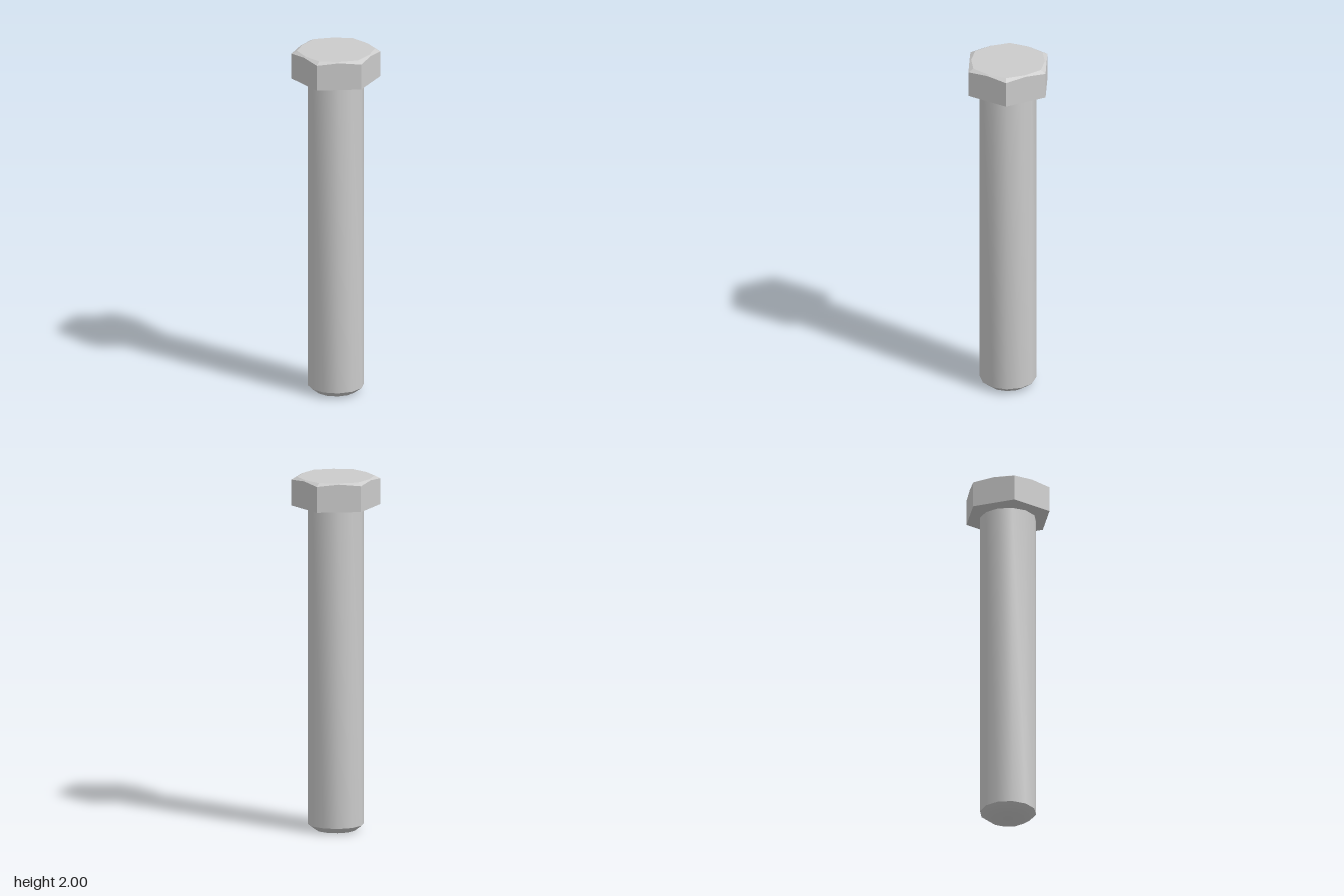
import * as THREE from 'three';
import { toCreasedNormals } from 'three/addons/utils/BufferGeometryUtils.js';

// Point at 30-degree step i around the y axis, starting at +z
function ringPoint(i, radius, y) {
  const a = (i * Math.PI) / 6;
  return [Math.sin(a) * radius, y, Math.cos(a) * radius];
}

// Closed solid from stacked 12-point rings, listed from bottom to top
function ringSolid(rings) {
  const pos = [];
  const bottom = rings[0], top = rings[rings.length - 1];
  for (let i = 0; i < 12; i++) {
    const j = (i + 1) % 12;
    pos.push(0, bottom[0][1], 0, ...bottom[j], ...bottom[i]);
    for (let r = 0; r < rings.length - 1; r++) {
      const a = rings[r], b = rings[r + 1];
      pos.push(...a[i], ...a[j], ...b[j], ...a[i], ...b[j], ...b[i]);
    }
    pos.push(0, top[0][1], 0, ...top[i], ...top[j]);
  }
  const geo = new THREE.BufferGeometry();
  geo.setAttribute('position', new THREE.Float32BufferAttribute(pos, 3));
  geo.computeVertexNormals();
  return geo;
}

// Ring alternating between corner and mid-side values
function hexRing(cornerR, midR, cornerY, midY) {
  return Array.from({ length: 12 }, (_, i) =>
    i % 2 ? ringPoint(i, midR, midY) : ringPoint(i, cornerR, cornerY));
}

export function createModel() {
  const group = new THREE.Group();
  const material = new THREE.MeshStandardMaterial({ color: 0xcccccc });

  // Hexagonal head, with corners chamfered more deeply than the side middles
  const R = 0.247, apothem = R * Math.cos(Math.PI / 6);
  const headGeo = ringSolid([
    hexRing(R, apothem, 1.838, 1.838),
    hexRing(R, apothem, 1.984, 1.995),
    hexRing(0.216, 0.204, 2, 2),
  ]);
  const head = new THREE.Mesh(toCreasedNormals(headGeo, 0.1), material);
  head.name = 'head';

  // Twelve-sided smooth shank with a chamfered tip
  const profile = [[0, 0], [0.113, 0.002], [0.157, 0.035], [0.157, 1.828], [0, 1.828]]
    .map(([x, y]) => new THREE.Vector2(x, y));
  const shank = new THREE.Mesh(
    toCreasedNormals(new THREE.LatheGeometry(profile, 12), 0.72), material);
  shank.name = 'shank';

  group.add(head, shank);
  return group;
}
